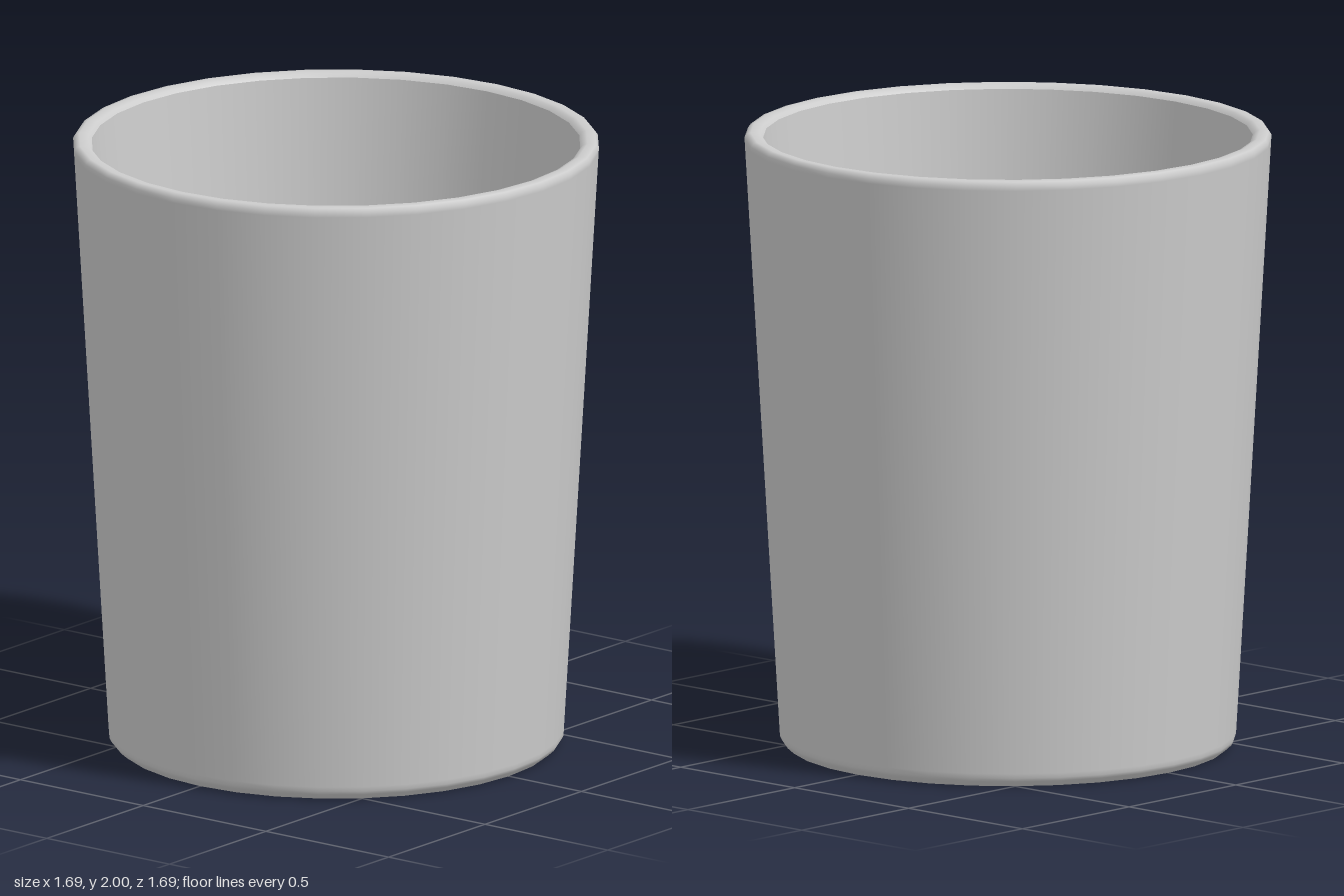
import * as THREE from 'three';

const SIDES = 32;
const material = new THREE.MeshStandardMaterial({ color: 0xcccccc });

// Revolve a profile of [radius, height] points; separate profiles meet in a sharp edge
function revolve(name, profile) {
  const points = profile.map(([r, y]) => new THREE.Vector2(r, y));
  const mesh = new THREE.Mesh(new THREE.LatheGeometry(points, SIDES), material);
  mesh.name = name;
  return mesh;
}

export function createModel() {
  const group = new THREE.Group();
  group.name = 'tumbler';

  // Flat underside
  group.add(revolve('base', [[0, 0], [0.705, 0]]));

  // Bevelled foot, tapered outer wall and softly rounded rim;
  // close pairs of points keep the long wall evenly shaded
  group.add(revolve('outerWall', [
    [0.705, 0], [0.725, 0.018], [0.731, 0.03], [0.732, 0.045],
    [0.844, 1.97], [0.845, 1.985], [0.836, 1.998],
    [0.825, 2], [0.808, 2], [0.795, 1.996], [0.785, 1.985],
  ]));

  // Inner wall tapering to a thicker foot
  group.add(revolve('innerWall', [[0.785, 1.985], [0.61, 0.12]]));

  // Inner floor
  group.add(revolve('floor', [[0.61, 0.12], [0, 0.12]]));

  return group;
}
